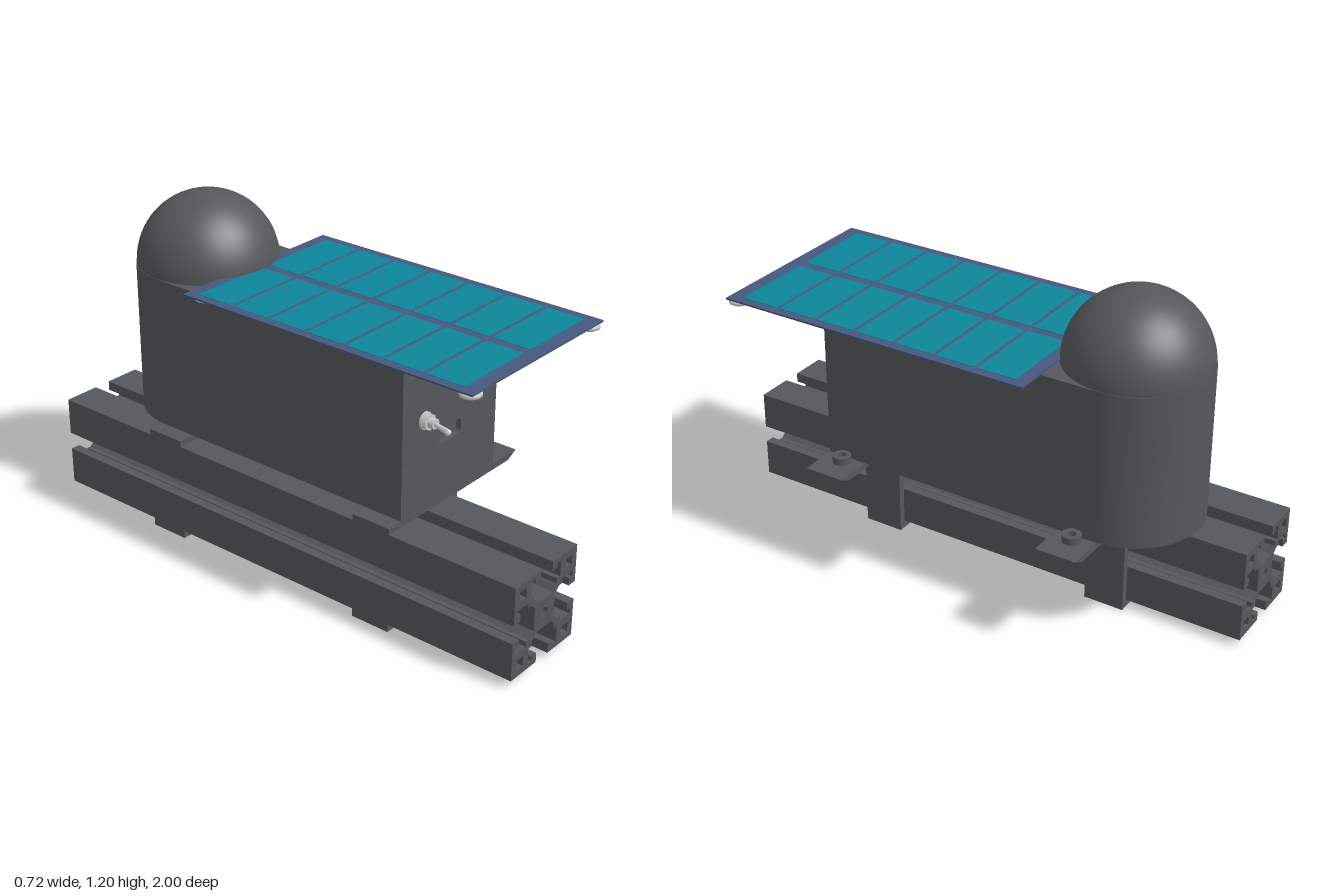
import * as THREE from 'three';

const paint = (color) => new THREE.MeshStandardMaterial({ color });
const DARK = paint(0x55585a), GREY = paint(0xcccccc), FRAME = paint(0x47577f);
const TEAL = paint(0x0d8599), YELLOW = paint(0xd8c648);

function add(parent, name, geometry, material, x = 0, y = 0, z = 0) {
  const mesh = new THREE.Mesh(geometry, material);
  mesh.name = name;
  mesh.position.set(x, y, z);
  parent.add(mesh);
  return mesh;
}
const polygon = (pts) => new THREE.Shape(pts.map(([x, y]) => new THREE.Vector2(x, y)));
const rect = (x0, y0, x1, y1) => polygon([[x0, y0], [x1, y0], [x1, y1], [x0, y1]]);
const circle = (x, y, r) => new THREE.Path().absarc(x, y, r, 0, Math.PI * 2, true);
const extrude = (shape, depth) =>
  new THREE.ExtrudeGeometry(shape, { depth, bevelEnabled: false, curveSegments: 24 });
// Extrude a plan shape upward (shape y is -z)
const raise = (shape, height) => extrude(shape, height).rotateX(-Math.PI / 2);

// T-slot rail: one slot outline repeated on four sides
function railGeometry() {
  const half = [[0.033, 0.17], [0.033, 0.135], [0.06, 0.135], [0.06, 0.152], [0.08, 0.152],
    [0.08, 0.095], [0.062, 0.095], [0.062, 0.077], [0.042, 0.055]];
  const slot = [...half, ...half.map(([u, v]) => [-u, v]).reverse()];
  const pts = [];
  for (let i = 0; i < 4; i++) {
    const c = Math.round(Math.cos(i * Math.PI / 2)), s = Math.round(Math.sin(i * Math.PI / 2));
    for (const [u, v] of [[0.17, 0.17], ...slot]) pts.push([u * c - v * s, u * s + v * c]);
  }
  const shape = polygon(pts);
  shape.holes.push(circle(0, 0, 0.018));
  for (const sx of [-1, 1]) for (const sy of [-1, 1]) {
    const x = sx * 0.126, y = sy * 0.126, h = 0.018;
    shape.holes.push(rect(x - h, y - h, x + h, y + h));
  }
  return extrude(shape, 2).translate(0, 0, -1);
}

// Clamp bracket: bottom plate, upright, drilled top plate with bevelled tip, bolt
function bracket(z) {
  const g = new THREE.Group();
  g.name = 'bracket';
  g.position.z = z;
  const w = 0.075;
  const top = rect(-0.35, -w, 0.31, w);
  top.holes.push(circle(0.25, 0, 0.014));
  add(g, 'bracketTop', raise(top, 0.023), DARK, 0, 0.368);
  const tip = polygon([[0.31, 0.368], [0.355, 0.391], [0.31, 0.391]]);
  add(g, 'bracketTip', extrude(tip, w * 2), DARK, 0, 0, -w);
  add(g, 'bracketUpright', new THREE.BoxGeometry(0.025, 0.368, w * 2), DARK, 0.0025, 0.184);
  const base = rect(-0.35, -w, -0.01, w);
  base.holes.push(circle(-0.18, 0, 0.016));
  add(g, 'bracketBottom', raise(base, 0.029), DARK);
  const head = new THREE.Shape().absarc(0, 0, 0.033, 0, Math.PI * 2);
  head.holes.push(circle(0, 0, 0.014));
  add(g, 'boltHead', raise(head, 0.026), DARK, 0.25, 0.391);
  return g;
}

// Hollow housing with a round back, a slotted front wall and a dome
function housing() {
  const g = new THREE.Group();
  g.name = 'housing';
  const cx = -0.035, r = 0.254, zc = -0.56, front = 0.51, t = 0.02;
  const outline = (inset, zFront) => {
    const s = new THREE.Shape();
    s.moveTo(cx - r + inset, -zFront);
    s.lineTo(cx + r - inset, -zFront);
    s.lineTo(cx + r - inset, -zc);
    s.absarc(cx, -zc, r - inset, 0, Math.PI);
    s.closePath();
    return s;
  };
  const y0 = 0.391, y1 = 0.945;
  const walls = outline(0, front - t);
  walls.holes.push(outline(t, front - 2 * t));
  // Front wall opening lines up with the port
  const slotAt = (s) => {
    const a = 0.02, x0 = -0.095, x1 = 0.025, b = 0.59, c = 0.645;
    s.moveTo(x0 + a, b);
    s.lineTo(x1 - a, b);
    s.quadraticCurveTo(x1, b, x1, b + a);
    s.lineTo(x1, c - a);
    s.quadraticCurveTo(x1, c, x1 - a, c);
    s.lineTo(x0 + a, c);
    s.quadraticCurveTo(x0, c, x0, c - a);
    s.lineTo(x0, b + a);
    s.quadraticCurveTo(x0, b, x0 + a, b);
    return s;
  };
  const face = rect(cx - r, y0, cx + r, y1);
  face.holes.push(slotAt(new THREE.Path()));
  add(g, 'frontWall', extrude(face, t), DARK, 0, 0, front - t);
  const inner = rect(cx - r, y0, cx + r, y1);
  inner.holes.push(slotAt(new THREE.Path()));
  const shell = outline(0, front - t);
  shell.holes.push(rect(cx - r + t, -front + t + 0.001, cx + r - t, -zc));
  add(g, 'sideWalls', raise(shell, y1 - y0), DARK, 0, y0);
  add(g, 'floor', raise(outline(0.001, front - 0.001), 0.015), DARK, 0, y0);
  add(g, 'lid', raise(outline(0.001, front - 0.001), 0.015), DARK, 0, y1 - 0.015);
  add(g, 'dome', new THREE.SphereGeometry(0.252, 48, 20, 0, Math.PI * 2, 0, Math.PI / 2),
    DARK, cx, y1, zc);
  // Circuit board and connector behind the slot
  add(g, 'circuitBoard', new THREE.BoxGeometry(0.2, 0.015, 0.36), YELLOW, cx, 0.592, 0.305);
  add(g, 'connector', new THREE.BoxGeometry(0.045, 0.03, 0.05), GREY, -0.03, 0.615, 0.42);
  return g;
}

// Toggle switch pointing forward with a tilted lever
function toggleSwitch() {
  const g = new THREE.Group();
  g.name = 'toggleSwitch';
  g.position.set(-0.175, 0.712, 0.51);
  const rod = (r0, r1, len, n) => new THREE.CylinderGeometry(r1, r0, len, n).rotateX(Math.PI / 2);
  add(g, 'washer', rod(0.03, 0.03, 0.008, 24), GREY, 0, 0, 0.004);
  add(g, 'hexNut', rod(0.03, 0.03, 0.016, 6), GREY, 0, 0, 0.016);
  add(g, 'barrel', rod(0.018, 0.018, 0.03, 20), GREY, 0, 0, 0.03);
  const lever = add(g, 'lever', rod(0.007, 0.011, 0.075, 16), GREY, -0.011, 0, 0.075);
  lever.rotation.y = -0.29;
  add(g, 'leverTip', new THREE.SphereGeometry(0.011, 16, 10), GREY, -0.021, 0, 0.107);
  return g;
}

// Solar panel: frame sheet, two columns of seven cells, four small feet
function solarPanel() {
  const g = new THREE.Group();
  g.name = 'solarPanel';
  add(g, 'panelSheet', new THREE.BoxGeometry(0.716, 0.006, 1.185), FRAME, -0.002, 0.964, 0.2275);
  for (const x of [-0.174, 0.169]) {
    for (let i = 0; i < 7; i++) {
      add(g, 'solarCell', new THREE.BoxGeometry(0.31, 0.009, 0.144), TEAL,
        x, 0.964, -0.25 + i * 0.158);
    }
  }
  const profile = [[0, 0], [0.7, 0], [1, 0.006], [1, 0.016], [0.8, 0.021], [0, 0.021]];
  for (const [x, z, r] of [[-0.325, 0.79, 0.036], [0.32, 0.79, 0.036],
    [-0.312, -0.317, 0.03], [0.29, -0.317, 0.034]]) {
    const pts = profile.map(([u, y]) => new THREE.Vector2(u * r, y));
    add(g, 'panelFoot', new THREE.LatheGeometry(pts, 24), GREY, x, 0.94, z);
  }
  return g;
}

export function createModel() {
  const model = new THREE.Group();
  model.name = 'solarSensorOnRail';
  add(model, 'rail', railGeometry(), DARK, -0.18, 0.199);
  model.add(bracket(0.435), bracket(-0.495), housing(), toggleSwitch(), solarPanel());
  return model;
}
